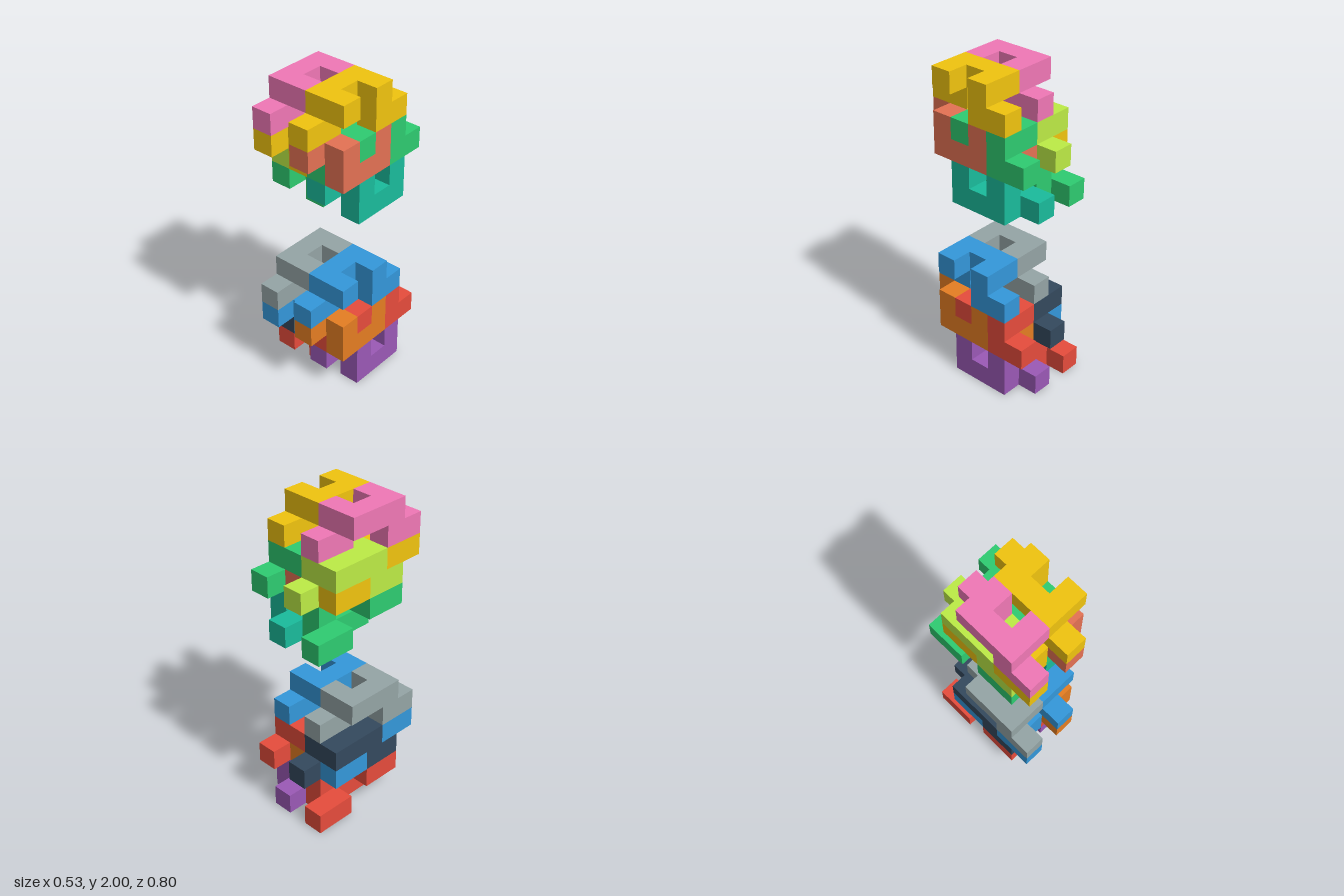
import * as THREE from 'three';
import { mergeGeometries } from 'three/addons/utils/BufferGeometryUtils.js';

const U = 2 / 15; // edge of one cube

// Interlocking blocks as [layer][x] rows; each character is one cube along z
const BASE = [['##...', '.###.'], ['...##', '.#.#.']];
const CAP = [['...##', '##...'], ['.###.', '.#.#.']];

// Outward face for each of the six directions: [dx, dy, dz, rotX, rotY]
const H = Math.PI / 2;
const FACES = [
  [1, 0, 0, 0, H], [-1, 0, 0, 0, -H],
  [0, 1, 0, -H, 0], [0, -1, 0, H, 0],
  [0, 0, 1, 0, 0], [0, 0, -1, 0, 2 * H],
];

// Skin of a block: only faces without a neighbouring cube
function blockGeometry(layers) {
  const filled = (x, y, z) => layers[y]?.[x]?.[z] === '#';
  const faces = [];
  for (let y = 0; y < 2; y++) for (let x = 0; x < 2; x++) for (let z = 0; z < 5; z++) {
    if (!filled(x, y, z)) continue;
    for (const [dx, dy, dz, rx, ry] of FACES) {
      if (filled(x + dx, y + dy, z + dz)) continue;
      const face = new THREE.PlaneGeometry(U, U);
      face.rotateX(rx).rotateY(ry);
      face.translate((x + 0.5 + dx / 2) * U, (y + 0.5 + dy / 2) * U, (z + 0.5 + dz / 2) * U);
      faces.push(face);
    }
  }
  return mergeGeometries(faces);
}

export function createModel() {
  const model = new THREE.Group();
  model.name = 'interlockingBlocks';
  const base = blockGeometry(BASE), cap = blockGeometry(CAP);

  // Blocks of one column, bottom to top: geometry, y and z in cubes
  const column = [
    ['bottomBlock', base, 0, 0],
    ['lowerMiddleBlock', cap, 2, 0],
    ['upperMiddleBlock', base, 2, 1],
    ['topBlock', cap, 4, 1],
  ];

  // Two clusters, each with a right and a left column of colours
  const clusters = [
    ['lowerCluster', 0, [[0xe74c3c, 0x34495e, 0x3498db, 0x95a5a6], [0x9b59b6, 0xe74c3c, 0xe67e22, 0x3498db]]],
    ['upperCluster', 9, [[0x2ecc71, 0xbdec46, 0xf1c40f, 0xf178b6], [0x1abc9c, 0x2ecc71, 0xe57254, 0xf1c40f]]],
  ];

  for (const [name, level, columns] of clusters) {
    const cluster = new THREE.Group();
    cluster.name = name;
    cluster.position.y = level * U;
    columns.forEach((colors, i) => {
      column.forEach(([part, geometry, y, z], j) => {
        const mesh = new THREE.Mesh(geometry, new THREE.MeshStandardMaterial({ color: colors[j] }));
        mesh.name = (i ? 'left ' : 'right ') + part;
        mesh.position.set((2 * i - 2) * U, y * U, (z - 3) * U);
        cluster.add(mesh);
      });
    });
    model.add(cluster);
  }
  return model;
}
